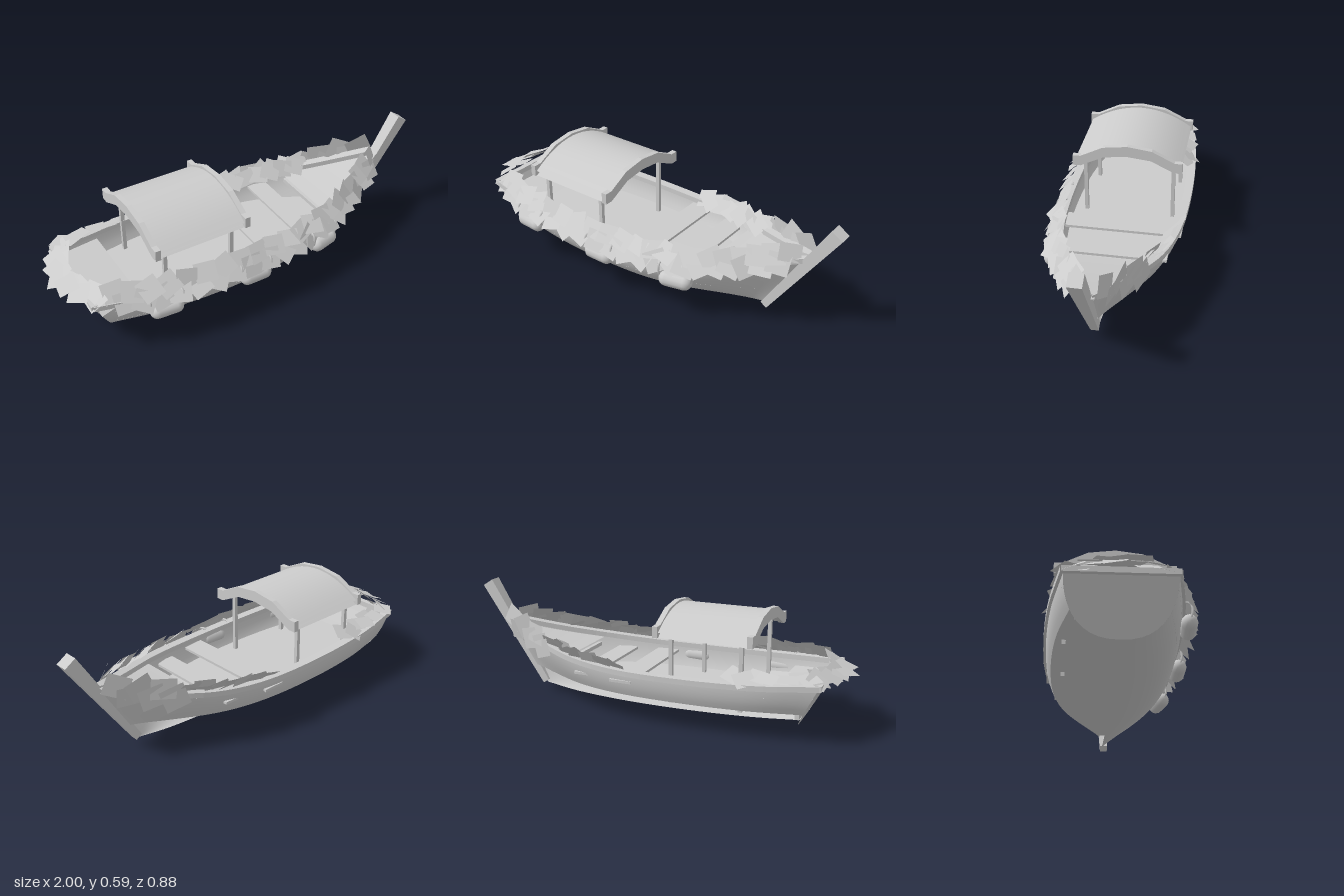
import * as THREE from 'three';

const mat = new THREE.MeshStandardMaterial({ color: 0xcccccc, side: THREE.DoubleSide });
const flat = new THREE.MeshStandardMaterial({ color: 0xcccccc, side: THREE.DoubleSide, flatShading: true });
const V = (x, y, z) => new THREE.Vector3(x, y, z);

// Hull lines, stern to bow: gunwale (along, height, half width) and keel (along, height)
const gunwale = new THREE.CatmullRomCurve3([
  V(-0.89, 0.29, 0.243), V(-0.6, 0.272, 0.293), V(-0.25, 0.264, 0.313), V(0.1, 0.266, 0.302),
  V(0.38, 0.288, 0.25), V(0.62, 0.33, 0.146), V(0.86, 0.39, 0.02)], false, 'catmullrom', 0.5);
const keel = new THREE.CatmullRomCurve3([
  V(-0.758, 0.034, 0), V(-0.5, 0.013, 0), V(-0.22, 0.002, 0), V(0.06, 0, 0),
  V(0.28, 0.006, 0), V(0.48, 0.02, 0), V(0.65, 0.045, 0)], false, 'catmullrom', 0.5);
const DECK = 0.14;

// Point on the hull at station t, fraction f of the way from keel to gunwale
function hullPoint(t, f, side) {
  const g = gunwale.getPoint(t), k = keel.getPoint(t);
  const n = 2.4 - 0.9 * t * t;
  const w = g.z * Math.pow(Math.max(0, 1 - Math.pow(1 - f, n)), 1 / n);
  return V(k.x + (g.x - k.x) * f, k.y + (g.y - k.y) * f, side * w);
}
const deckFraction = t => {
  const g = gunwale.getPoint(t), k = keel.getPoint(t);
  return (DECK - k.y) / (g.y - k.y);
};

// Grid surface from a function of two values from 0 to 1
function sheet(nu, nv, fn) {
  const pos = [], idx = [];
  for (let i = 0; i <= nu; i++) for (let j = 0; j <= nv; j++) pos.push(...fn(i / nu, j / nv).toArray());
  for (let i = 0; i < nu; i++) for (let j = 0; j < nv; j++) {
    const a = i * (nv + 1) + j, b = a + nv + 1;
    idx.push(a, b, a + 1, b, b + 1, a + 1);
  }
  const g = new THREE.BufferGeometry();
  g.setAttribute('position', new THREE.Float32BufferAttribute(pos, 3));
  g.setIndex(idx);
  g.computeVertexNormals();
  return g;
}

export function createModel() {
  const root = new THREE.Group();
  root.name = 'boat';
  const boat = new THREE.Group();
  boat.name = 'boatBody';
  boat.rotation.y = -0.218;
  boat.position.set(-0.003, 0, 0.012);
  root.add(boat);
  const add = (name, geo, m = mat, parent = boat) => {
    const mesh = new THREE.Mesh(geo, m);
    mesh.name = name;
    parent.add(mesh);
    return mesh;
  };
  const box = (name, sx, sy, sz, x, y, z, parent) => {
    const mesh = add(name, new THREE.BoxGeometry(sx, sy, sz), flat, parent);
    mesh.position.set(x, y, z);
    return mesh;
  };

  // Hull: full planking on one side, only the upper strake on the other
  add('hullSide', sheet(28, 14, (t, v) => hullPoint(t, v * v, 1)));
  add('upperStrake', sheet(28, 5, (t, v) => hullPoint(t, 1 + (deckFraction(t) - 1) * v, -1)));
  add('transom', sheet(10, 1, (v, s) => hullPoint(0, v * v, s * 2 - 1)), flat);

  // Main deck and the raised decks at stern and bow
  add('deck', sheet(28, 1, (t, s) => hullPoint(t, deckFraction(t), 1 - 2 * s)), flat);
  add('sternDeck', sheet(4, 1, (t, s) => hullPoint(t * 0.13, 0.78, 1 - 2 * s)));
  add('bowDeck', sheet(10, 1, (t, s) => hullPoint(0.7 + t * 0.3, 0.9, 1 - 2 * s)));

  // Gunwale rails of rectangular section
  const railSection = [[-0.032, 0.008], [0.012, 0.008], [0.012, -0.018], [-0.032, -0.018], [-0.032, 0.008]];
  for (const side of [1, -1]) {
    add('gunwaleRail', sheet(28, 4, (t, v) => {
      const [dw, dy] = railSection[Math.round(v * 4)];
      const p = hullPoint(t, 1, side);
      return V(p.x, p.y + dy, side * Math.max(0.002, Math.abs(p.z) + dw));
    }), flat);
  }
  box('sternRail', 0.03, 0.028, 0.5, -0.885, 0.285, 0);
  box('sternBeam', 0.02, 0.035, 0.38, -0.78, 0.122, 0);

  // Bow post
  const postGeo = new THREE.CylinderGeometry(0.046, 0.027, 0.62, 4).rotateY(Math.PI / 4);
  const post = add('bowPost', postGeo, flat);
  post.position.set(0.826, 0.31, 0.014);
  post.rotation.z = -0.572;

  // Thwarts, their ends passing through the planking
  box('thwart', 0.115, 0.013, 0.62, 0.065, 0.215, 0);
  box('thwart', 0.105, 0.013, 0.535, 0.285, 0.215, 0);
  box('bowBeam', 0.02, 0.02, 0.4, 0.43, 0.235, 0);

  // Canopy: four posts, two arches and a curved roof
  const canopy = new THREE.Group();
  canopy.name = 'canopy';
  canopy.position.z = -0.003;
  boat.add(canopy);
  for (const [x, z] of [[-0.52, -0.228], [-0.52, 0.228], [-0.17, -0.228], [-0.17, 0.228]]) {
    box('canopyPost', 0.019, 0.36, 0.019, x, 0.3, z, canopy);
  }
  const top = [[-0.28, 0.5], [-0.24, 0.5], [-0.125, 0.557], [0, 0.573], [0.125, 0.557], [0.24, 0.5], [0.28, 0.5]];
  const under = [[0.28, 0.445], [0.24, 0.445], [0.12, 0.503], [0, 0.516], [-0.12, 0.503], [-0.24, 0.445], [-0.28, 0.445]];
  const archShape = new THREE.Shape([...top, ...under].map(([z, y]) => new THREE.Vector2(z, y)));
  for (const x of [-0.587, -0.12]) {
    const g = new THREE.ExtrudeGeometry(archShape, { depth: 0.027, bevelEnabled: false });
    add('canopyArch', g.rotateY(Math.PI / 2), flat, canopy).position.x = x;
  }
  const roofY = z => 0.56 - 1.25 * z * z;
  for (const [name, drop] of [['roofTop', 0], ['roofUnderside', 0.025]]) {
    add(name, sheet(1, 14, (a, v) => {
      const z = (v - 0.5) * 0.54;
      return V(-0.575 + a * 0.47, roofY(z) - drop, z);
    }), mat, canopy);
  }

  // Fenders hung from the full side
  for (const [u, w, turn] of [[-0.568, 0.322, -0.07], [-0.097, 0.335, 0], [0.33, 0.292, 0.24]]) {
    const f = new THREE.Group();
    f.name = 'fender';
    f.position.set(u, 0.197, w);
    f.rotation.y = turn;
    boat.add(f);
    add('fenderBody', new THREE.CapsuleGeometry(0.038, 0.09, 6, 12).rotateZ(Math.PI / 2), mat, f);
    for (const x of [-0.075, 0.075]) {
      const rope = new THREE.CatmullRomCurve3([V(x, 0, 0), V(x * 1.08, 0.035, 0.012), V(x * 1.08, 0.075, 0.005), V(x, 0.085, -0.04)]);
      add('fenderRope', new THREE.TubeGeometry(rope, 8, 0.006, 6), mat, f);
    }
  }

  // Leaf fringe: seeded tilted squares along the rim
  let seed = 7;
  const rnd = () => (seed = (seed * 16807) % 2147483647) / 2147483647;
  const fringe = new THREE.Group();
  fringe.name = 'leafFringe';
  boat.add(fringe);
  const leaf = (p, heading, slope, size) => {
    const g = new THREE.PlaneGeometry(size, size * (0.75 + 0.25 * rnd()));
    g.rotateZ((rnd() - 0.5) * 1.1);
    g.rotateX(-slope + (rnd() - 0.5) * 0.5);
    g.rotateY(heading + (rnd() - 0.5) * 0.5);
    add('leaf', g, flat, fringe).position.copy(p);
  };
  const headingAt = (t, side) => {
    const d = gunwale.getTangent(t);
    return Math.atan2(-d.z, side * d.x);
  };
  // Full side
  for (let i = 0; i < 42; i++) {
    const t = 0.04 + 0.91 * i / 41, p = hullPoint(t, 1, 1);
    p.y += 0.02 + (i % 2 ? 0.022 : -0.018);
    p.z += (i % 2 ? 0 : 0.028) - Math.max(0, 0.12 - t) * 0.5;
    leaf(p, headingAt(t, 1), 0.7, 0.105);
  }
  // Strake side: nearly level at the stern, facing inboard amidships
  for (let i = 0; i < 8; i++) {
    const t = 0.03 + 0.19 * i / 7, p = hullPoint(t, 1, -1);
    leaf(V(p.x, p.y + 0.025 + 0.015 * rnd(), p.z + 0.02 + 0.03 * (i % 2)), headingAt(t, -1), 1.2, 0.095);
  }
  for (let i = 0; i < 13; i++) {
    const t = 0.5 + 0.25 * i / 12, p = hullPoint(t, 1, -1);
    leaf(V(p.x, p.y + 0.02, p.z + 0.01 + 0.025 * (i % 2)), headingAt(t, -1) + Math.PI, 0.6, 0.1);
  }
  // Large steep leaves beside the bow
  for (let i = 0; i < 6; i++) {
    const t = 0.8 + 0.16 * i / 5, p = hullPoint(t, 1, -1);
    leaf(V(p.x, p.y + (i % 2 ? 0.03 : -0.015), p.z - 0.015), headingAt(t, -1), 0.05, 0.122);
  }
  // Rounded row across the stern
  for (let i = 0; i < 13; i++) {
    const w = -0.2 + 0.41 * i / 12;
    leaf(V(-0.95 + 1.9 * w * w + (i % 2) * 0.03, 0.305 + 0.015 * rnd(), w), -Math.PI / 2 + w * 2, 1.05, 0.105);
  }
  return root;
}
